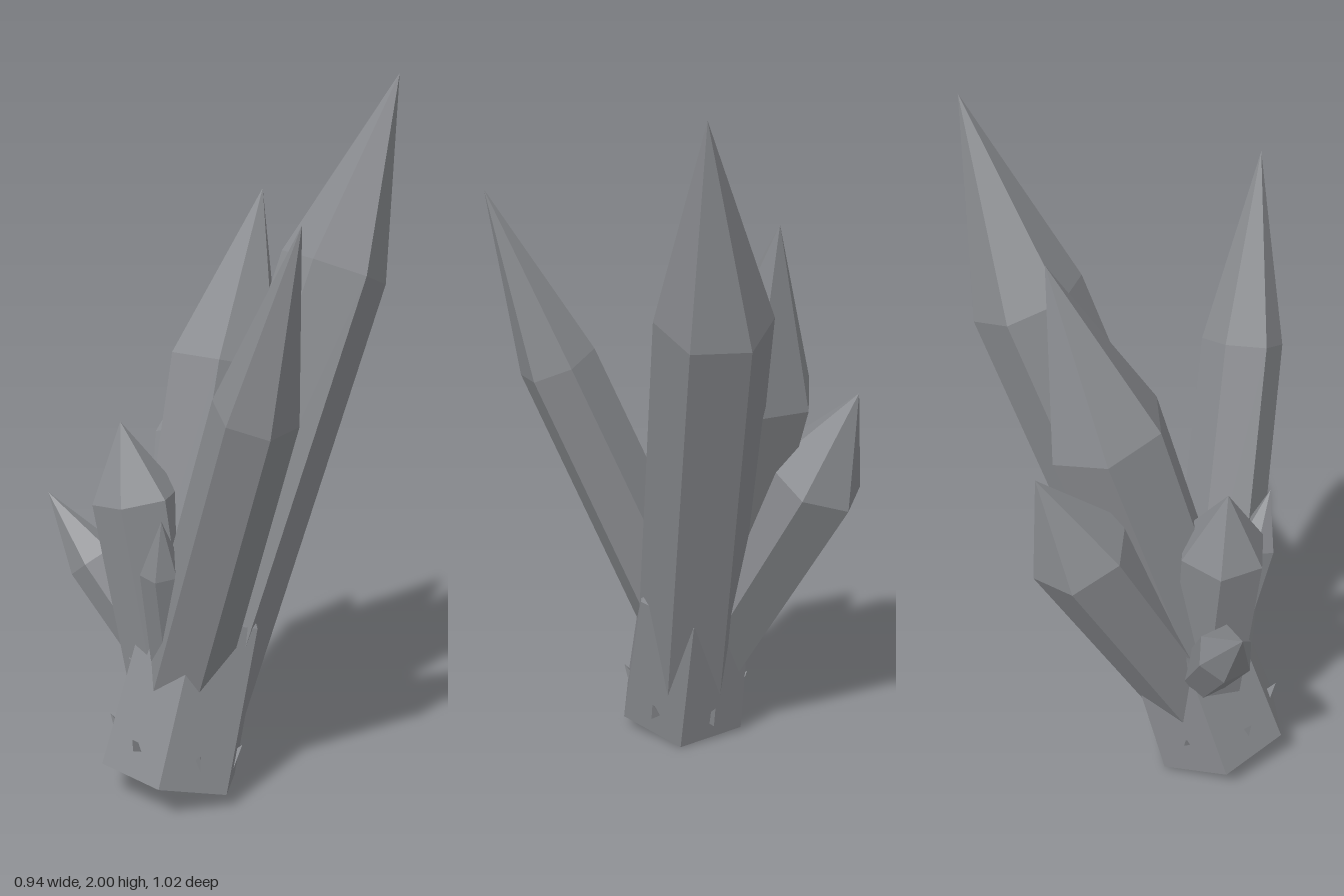
import * as THREE from 'three';

const stone = new THREE.MeshStandardMaterial({ color: 0x8a8c90 });
stone.name = 'grey crystal';

// Six-sided faceted crystal: two hexagonal rings across the shaft, then an off-centre point.
function crystal(name, { base, shoulder, tip, r0, r1, turn }) {
  const b = new THREE.Vector3(...base), s = new THREE.Vector3(...shoulder), t = new THREE.Vector3(...tip);
  const axis = s.clone().sub(b).normalize();
  const u = new THREE.Vector3(1, 0, 0).addScaledVector(axis, -axis.x).normalize();
  const v = u.clone().cross(axis);
  const ring = (centre, r) => Array.from({ length: 6 }, (_, i) => {
    const a = THREE.MathUtils.degToRad(turn + i * 60);
    return centre.clone().addScaledVector(u, r * Math.cos(a)).addScaledVector(v, r * Math.sin(a));
  });
  const low = ring(b, r0), high = ring(s, r1), points = [];
  for (let i = 0; i < 6; i++) {
    const j = (i + 1) % 6;
    points.push(low[i], high[i], low[j], low[j], high[i], high[j]); // shaft facet
    points.push(high[i], t, high[j]); // point facet
    points.push(b, low[i], low[j]); // flat foot
  }
  // unshared corners give flat facets
  const geometry = new THREE.BufferGeometry().setFromPoints(points);
  geometry.computeVertexNormals();
  const mesh = new THREE.Mesh(geometry, stone);
  mesh.name = name;
  return mesh;
}

const crystals = {
  stump: { base: [-0.27, 0.06, -0.04], shoulder: [-0.13, 0.52, -0.06], tip: [-0.06, 0.8, -0.06], r0: 0.21, r1: 0.185, turn: 9 },
  mainCrystal: { base: [-0.21, 0.2, -0.045], shoulder: [0.29, 1.47, -0.045], tip: [0.47, 2, 0], r0: 0.16, r1: 0.155, turn: 30 },
  frontCrystal: { base: [-0.23, 0.32, -0.04], shoulder: [-0.21, 1.21, 0.33], tip: [-0.2, 1.71, 0.515], r0: 0.125, r1: 0.115, turn: 42 },
  backCrystal: { base: [-0.21, 0.36, -0.09], shoulder: [0.03, 1.2, -0.2], tip: [0.17, 1.68, -0.23], r0: 0.15, r1: 0.17, turn: 9 },
  lowBackCrystal: { base: [-0.19, 0.25, -0.09], shoulder: [0.05, 0.93, -0.37], tip: [0.13, 1.2, -0.465], r0: 0.13, r1: 0.145, turn: 20 },
  rightCrystal: { base: [-0.24, 0.3, -0.1], shoulder: [-0.29, 0.86, -0.17], tip: [-0.31, 1.07, -0.215], r0: 0.11, r1: 0.125, turn: 18 },
  backRightSprout: { base: [-0.22, 0.32, -0.12], shoulder: [-0.345, 0.63, -0.33], tip: [-0.42, 0.81, -0.47], r0: 0.07, r1: 0.08, turn: 20 },
  frontRightSprout: { base: [-0.25, 0.3, -0.03], shoulder: [-0.335, 0.72, 0.05], tip: [-0.36, 0.88, 0.1], r0: 0.06, r1: 0.06, turn: 15 },
};

export function createModel() {
  const model = new THREE.Group();
  model.name = 'crystalCluster';
  for (const [name, spec] of Object.entries(crystals)) model.add(crystal(name, spec));

  // tiny shards on the stump's six faces
  const shards = new THREE.Group();
  shards.name = 'shards';
  const up = new THREE.Vector3(0, 1, 0);
  for (let i = 0; i < 6; i++) {
    const a = THREE.MathUtils.degToRad(39 + i * 60);
    const out = new THREE.Vector3(Math.cos(a), 0, Math.sin(a));
    const shard = new THREE.Mesh(new THREE.ConeGeometry(0.025, 0.07, 3).toNonIndexed(), stone);
    shard.geometry.computeVertexNormals();
    shard.position.set(-0.245 + out.x * 0.173, 0.15 - out.x * 0.05, -0.042 + out.z * 0.173);
    shard.quaternion.setFromUnitVectors(up, out.clone().addScaledVector(up, 1.6).normalize());
    shard.name = 'shard';
    shards.add(shard);
  }
  model.add(shards);
  return model;
}
